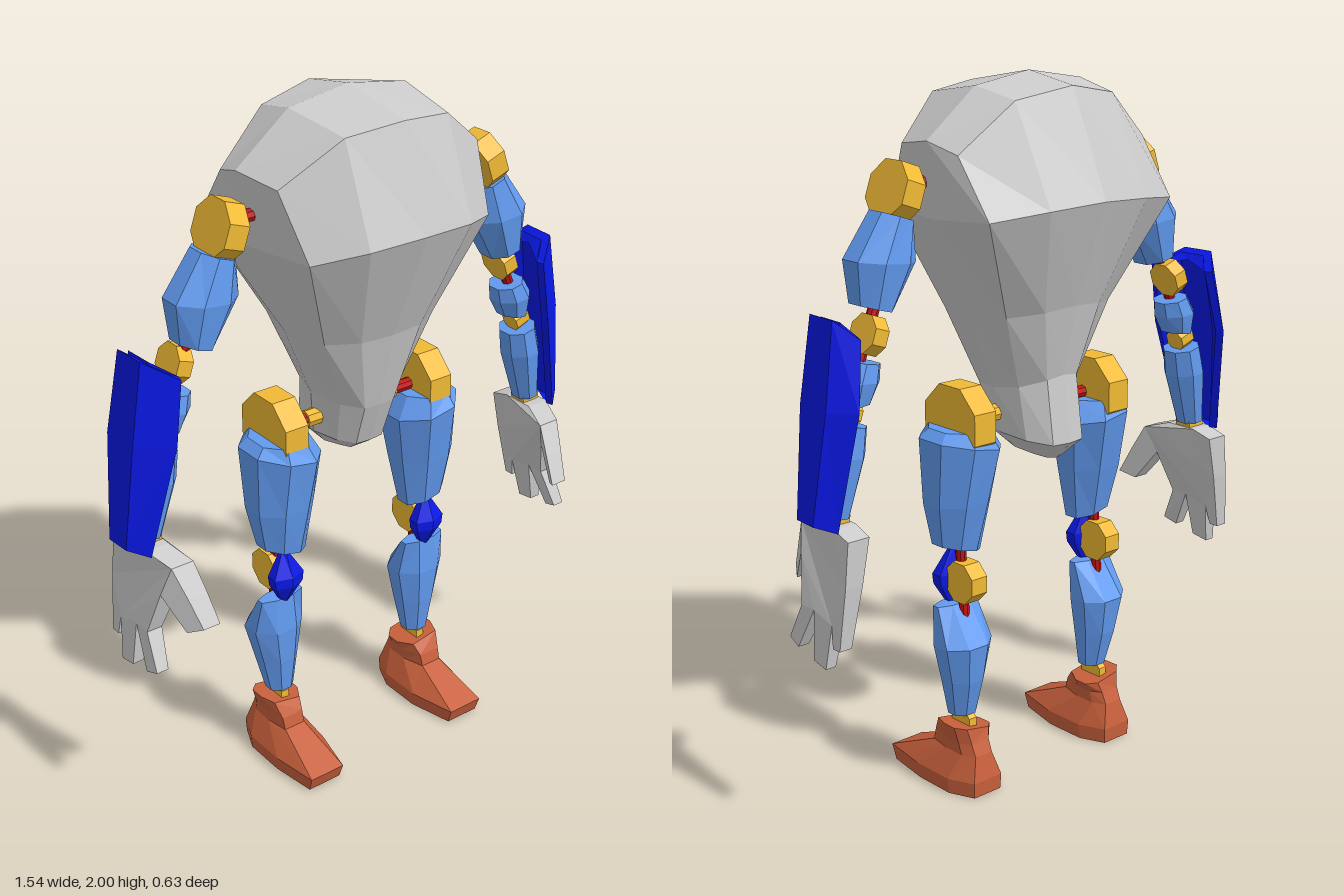
import * as THREE from 'three';

const mat = (color) => new THREE.MeshStandardMaterial({ color, flatShading: true, side: THREE.DoubleSide });
const GREY = mat(0xcccccc), BLUE = mat(0x629bf0), NAVY = mat(0x0a18e6);
const GOLD = mat(0xf0ba34), RED = mat(0xc01010), BROWN = mat(0xc8603c);

// Unindexed, outward-facing copy of a closed geometry, optionally mirrored in x
function bake(source, mirror = false) {
  const g = source.index ? source.toNonIndexed() : source.clone();
  if (mirror) g.scale(-1, 1, 1);
  const p = g.attributes.position;
  const [a, b, c] = [0, 1, 2].map(() => new THREE.Vector3());
  let volume = 0;
  for (let i = 0; i < p.count; i += 3) {
    [a, b, c].forEach((v, k) => v.fromBufferAttribute(p, i + k));
    volume += a.dot(b.clone().cross(c));
  }
  if (volume < 0) {
    for (let i = 0; i < p.count; i += 3) {
      b.fromBufferAttribute(p, i + 1);
      c.fromBufferAttribute(p, i + 2);
      p.setXYZ(i + 1, c.x, c.y, c.z);
      p.setXYZ(i + 2, b.x, b.y, b.z);
    }
  }
  g.computeVertexNormals();
  return g;
}

// Solid through a list of equal-length rings, capped at the ends
function loft(rings, capStart = true, capEnd = true) {
  const out = [];
  const n = rings[0].length;
  const tri = (...pts) => {
    const [a, b, c] = pts.map((q) => new THREE.Vector3(...q));
    if (b.clone().sub(a).cross(c.clone().sub(a)).length() > 1e-7) out.push(...pts.flat());
  };
  for (let r = 0; r + 1 < rings.length; r++) {
    for (let i = 0; i < n; i++) {
      const j = (i + 1) % n, lo = rings[r], hi = rings[r + 1];
      tri(lo[i], lo[j], hi[j]);
      tri(lo[i], hi[j], hi[i]);
    }
  }
  const cap = (ring, flip) => {
    const mid = [0, 1, 2].map((k) => ring.reduce((s, q) => s + q[k], 0) / n);
    ring.forEach((q, i) => {
      const next = ring[(i + 1) % n];
      if (flip) tri(mid, next, q); else tri(mid, q, next);
    });
  };
  if (capStart) cap(rings[0], true);
  if (capEnd) cap(rings[rings.length - 1], false);
  const g = new THREE.BufferGeometry();
  g.setAttribute('position', new THREE.Float32BufferAttribute(out, 3));
  return g;
}

// Faceted limb; each row is x, y, z, half width, half depth, tilt about z
const limb = (rows, n = 8) => loft(rows.map(([x, y, z, rx, rz, tilt = 0]) =>
  Array.from({ length: n }, (_, i) => {
    const t = ((i + 0.5) / n) * Math.PI * 2, k = 1 / Math.cos(Math.PI / n);
    const u = Math.cos(t) * rx * k;
    return [x + u * Math.cos(tilt), y + u * Math.sin(tilt), z + Math.sin(t) * rz * k];
  })));

// Eight-sided joint disc whose axis lies along x, tilted about z
const disc = (x, y, z, r, width, tilt = 0) =>
  new THREE.CylinderGeometry(r, r, width, 8).rotateY(Math.PI / 8)
    .rotateZ(Math.PI / 2 + tilt).translate(x, y, z);

const rod = (from, to, r) => {
  const a = new THREE.Vector3(...from), d = new THREE.Vector3(...to).sub(a);
  const q = new THREE.Quaternion().setFromUnitVectors(new THREE.Vector3(0, 1, 0), d.clone().normalize());
  return new THREE.CylinderGeometry(r, r, d.length(), 8).applyQuaternion(q)
    .translate(...a.addScaledVector(d, 0.5).toArray());
};

// Half rings run from front centre round the side to back centre
function bodyGeometry() {
  const top = [0, 2, -0.02], shoulder = [0.19, 1.97, -0.02], side = [0.355, 1.84, -0.02];
  const halves = [
    [top, shoulder, side, side, side, shoulder, top],
    [[0, 1.96, 0.215], [0.165, 1.94, 0.185], [0.325, 1.82, 0.12], side, [0.335, 1.81, -0.12], [0.175, 1.94, -0.16], [0, 1.97, -0.19]],
    [[0, 1.68, 0.312], [0.165, 1.67, 0.29], [0.295, 1.64, 0.21], [0.335, 1.635, -0.02], [0.33, 1.65, -0.235], [0.175, 1.67, -0.295], [0, 1.68, -0.317]],
    [[0, 1.36, 0.18], [0.1, 1.36, 0.17], [0.185, 1.36, 0.12], [0.215, 1.36, -0.02], [0.19, 1.37, -0.14], [0.1, 1.38, -0.195], [0, 1.39, -0.21]],
    [[0, 1.13, 0.125], [0.05, 1.13, 0.12], [0.1, 1.14, 0.075], [0.13, 1.15, -0.02], [0.11, 1.16, -0.1], [0.055, 1.18, -0.155], [0, 1.19, -0.165]],
    [[0, 1.0, 0.08], [0.045, 1.0, 0.075], [0.085, 1.01, 0.04], [0.115, 1.02, -0.03], [0.1, 1.01, -0.12], [0.055, 1.0, -0.18], [0, 1.0, -0.19]],
    [[0, 0.965, 0.03], [0.03, 0.965, 0.03], [0.05, 0.97, 0.01], [0.07, 0.97, -0.04], [0.055, 0.96, -0.1], [0.03, 0.95, -0.13], [0, 0.945, -0.135]],
  ];
  return loft(halves.map((h) => [...h, ...h.slice(1, 6).reverse().map(([x, y, z]) => [-x, y, z])]), false);
}

// Curved armour plate on the outside of the forearm
function guardGeometry() {
  const rows = [
    [1.43, 1.38, 0.70, 0.615, 0.10, 0.65, -0.115],
    [1.2, 1.2, 0.738, 0.64, 0.105, 0.68, -0.14],
    [0.9, 0.88, 0.77, 0.715, 0.07, 0.72, -0.09],
  ];
  const t = 0.022;
  return loft(rows.map(([yo, ye, xo, xf, zf, xb, zb]) => [
    [xf, ye, zf], [xo - 0.005, yo, zf * 0.38], [xo, yo, zb * 0.55], [xb, ye, zb],
    [xb - t * 0.5, ye, zb + t], [xo - t * 1.3, yo - 0.01, zb * 0.5], [xo - t * 1.5, yo - 0.01, zf * 0.3], [xf - t * 0.3, ye, zf - t],
  ]));
}

// Hand outline in z and y, given thickness and bent inward at the thumb
function handGeometry() {
  const outline = [
    [0.04, 0.885], [0.12, 0.86], [0.165, 0.78], [0.207, 0.70], [0.165, 0.68], [0.095, 0.775],
    [0.06, 0.65], [0.11, 0.545], [0.065, 0.53], [0.005, 0.65], [-0.005, 0.515], [-0.06, 0.505],
    [-0.075, 0.63], [-0.085, 0.57], [-0.115, 0.57], [-0.125, 0.74], [-0.125, 0.865], [-0.06, 0.885],
  ].map(([z, y]) => new THREE.Vector2(z, y));
  const g = new THREE.ExtrudeGeometry(new THREE.Shape(outline), { depth: 1, steps: 1, bevelEnabled: false });
  const p = g.attributes.position;
  for (let i = 0; i < p.count; i++) {
    const z = p.getX(i), y = p.getY(i), down = (0.88 - y) / 0.37;
    const centre = 0.68 + 0.055 * down - Math.max(0, z - 0.07) * (y > 0.66 ? 0.6 : 0.1);
    const thickness = 0.07 - 0.038 * down;
    p.setXYZ(i, centre + (p.getZ(i) - 0.5) * thickness, y, z);
  }
  return g;
}

// Foot rows: height, heel z, toe z, half width, inner-to-outer rise
function footGeometry() {
  const plan = [[-0.6, 0], [-1, 0.22], [-1, 0.6], [-0.6, 1], [0.75, 1], [1, 0.6], [1, 0.22], [0.6, 0]];
  const rows = [[0, -0.13, 0.21, 0.08, 0], [0.045, -0.132, 0.225, 0.084, 0],
    [0.115, -0.115, 0.06, 0.05, 0], [0.15, -0.1, 0.05, 0.052, 0], [0.188, -0.09, 0.025, 0.066, 0.012]];
  return loft(rows.map(([y, heel, toe, w, rise]) =>
    plan.map(([u, v]) => [0.258 + u * w, y + u * rise, heel + (toe - heel) * v])));
}

// Parts of the left arm and leg; the right side is mirrored from these
function sideParts() {
  const tilt = 0.34;
  return {
    arm: [
      ['shoulderRod', RED, rod([0.3, 1.73, 0.017], [0.43, 1.73, 0.017], 0.018)],
      ['shoulderJoint', GOLD, disc(0.43, 1.714, 0.017, 0.083, 0.062, tilt)],
      ['upperArm', BLUE, limb([[0.45, 1.655, 0.01, 0.054, 0.065, -tilt + 0.68],
        [0.492, 1.545, 0.01, 0.094, 0.08, 0.1], [0.524, 1.425, 0.01, 0.053, 0.062, 0.28]])],
      ['elbowRod', RED, rod([0.52, 1.45, -0.01], [0.59, 1.27, -0.01], 0.016)],
      ['elbowJoint', GOLD, disc(0.558, 1.365, -0.025, 0.055, 0.045, tilt)],
      ['elbowCuff', BLUE, limb([[0.577, 1.297, -0.015, 0.047, 0.05, 0.2],
        [0.595, 1.25, -0.015, 0.058, 0.058, 0.1], [0.605, 1.19, -0.015, 0.043, 0.045, -0.1]])],
      ['forearmJoint', GOLD, disc(0.625, 1.17, -0.015, 0.034, 0.05, tilt)],
      ['forearm', BLUE, limb([[0.63, 1.14, -0.015, 0.05, 0.055, 0.2],
        [0.645, 1.06, -0.015, 0.054, 0.06, 0.1], [0.675, 0.9, -0.015, 0.035, 0.04, 0.1]])],
      ['forearmGuard', NAVY, guardGeometry()],
      ['wristJoint', GOLD, disc(0.677, 0.895, -0.015, 0.03, 0.06, 0.1)],
      ['hand', GREY, handGeometry()],
    ],
    leg: [
      ['hipRod', RED, rod([0.08, 1.075, -0.015], [0.25, 1.075, -0.015], 0.018)],
      ['hipCollar', GOLD, rod([0.11, 1.075, -0.015], [0.155, 1.075, -0.015], 0.025)],
      ['hipJoint', GOLD, disc(0.252, 1.075, -0.02, 0.113, 0.075)],
      ['thigh', BLUE, limb([[0.25, 1.06, -0.01, 0.075, 0.09], [0.245, 1.015, -0.01, 0.108, 0.115, 0.18],
        [0.253, 0.85, -0.005, 0.093, 0.085], [0.255, 0.71, 0, 0.07, 0.055, 0.25]])],
      ['kneeRod', RED, rod([0.258, 0.76, -0.02], [0.258, 0.46, -0.04], 0.015)],
      ['kneeJoint', GOLD, disc(0.258, 0.62, -0.045, 0.062, 0.055)],
      ['kneecap', NAVY, limb([[0.258, 0.705, 0.015, 0.008, 0.01], [0.258, 0.63, 0.025, 0.05, 0.03],
        [0.258, 0.6, 0.025, 0.046, 0.03], [0.258, 0.54, 0.015, 0.015, 0.012]], 6)],
      ['shin', BLUE, limb([[0.262, 0.55, 0.0, 0.07, 0.026], [0.264, 0.44, -0.035, 0.082, 0.07],
        [0.26, 0.33, -0.03, 0.06, 0.058], [0.257, 0.22, -0.022, 0.04, 0.037]])],
      ['ankleRod', RED, rod([0.258, 0.25, -0.03], [0.258, 0.18, -0.03], 0.012)],
      ['ankleJoint', GOLD, disc(0.258, 0.195, -0.03, 0.042, 0.026)],
      ['foot', BROWN, footGeometry()],
    ],
  };
}

export function createModel() {
  const model = new THREE.Group();
  model.name = 'robot';
  const add = (parent, name, geometry, material) => {
    const mesh = new THREE.Mesh(geometry, material);
    mesh.name = name;
    parent.add(mesh);
  };
  add(model, 'body', bake(bodyGeometry()), GREY);
  for (const [limbName, parts] of Object.entries(sideParts())) {
    for (const side of ['left', 'right']) {
      const group = new THREE.Group();
      group.name = side + (limbName === 'arm' ? 'Arm' : 'Leg');
      for (const [name, material, geometry] of parts) add(group, name, bake(geometry, side === 'right'), material);
      model.add(group);
    }
  }
  return model;
}
